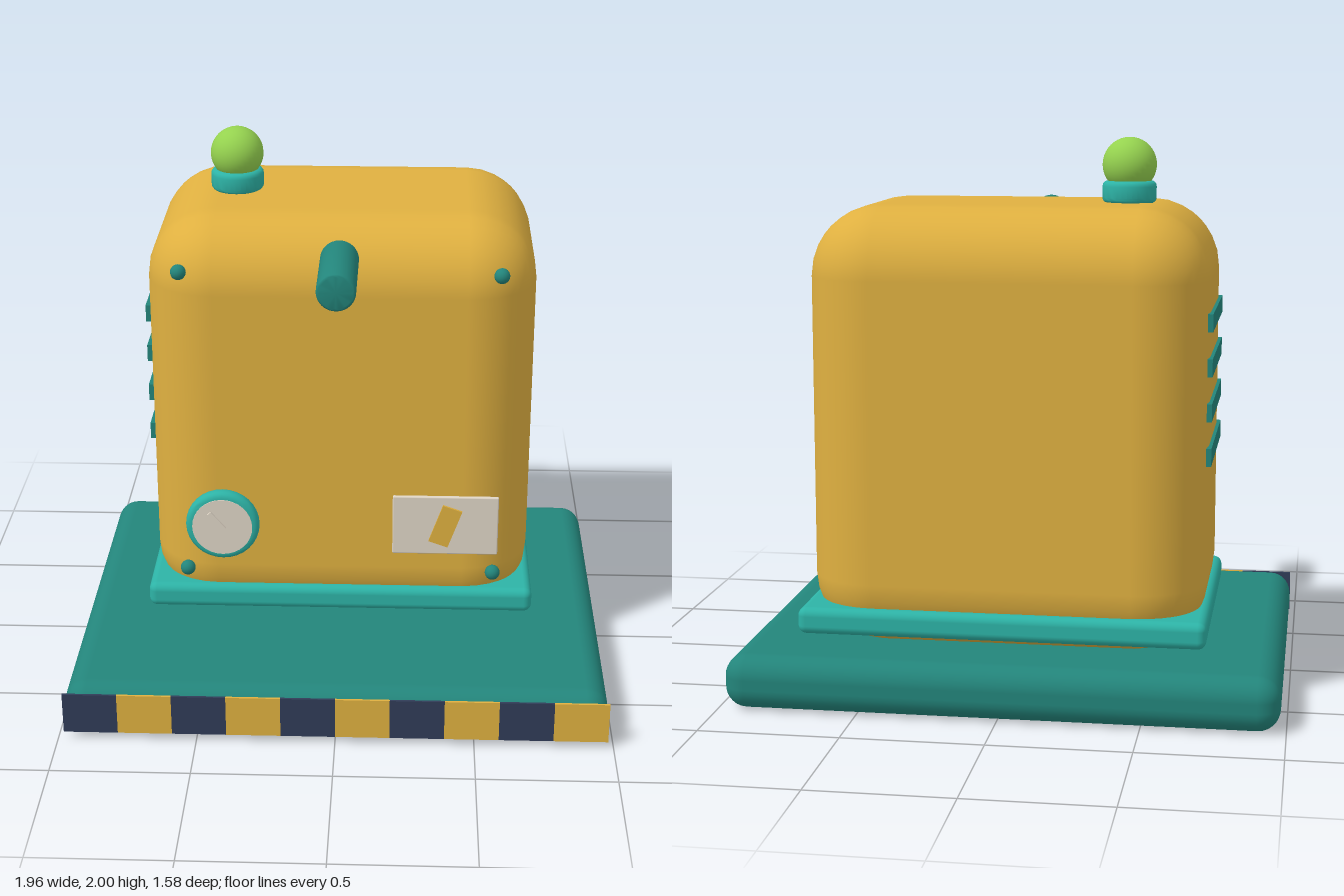
import * as THREE from 'three';
import { RoundedBoxGeometry } from 'three/addons/geometries/RoundedBoxGeometry.js';
import { toCreasedNormals } from 'three/addons/utils/BufferGeometryUtils.js';

function material(name, color) {
  const m = new THREE.MeshStandardMaterial({ color });
  m.name = name;
  return m;
}

// Round disc along +y from y = 0, with softened rims
function bevelledDisc(radius, height, bevel, sides = 32) {
  const points = [new THREE.Vector2(0, 0)];
  for (let i = 0; i <= 4; i++) {
    const a = -Math.PI / 2 + (i / 4) * (Math.PI / 2);
    points.push(new THREE.Vector2(radius - bevel + bevel * Math.cos(a), bevel + bevel * Math.sin(a)));
  }
  for (let i = 0; i <= 4; i++) {
    const a = (i / 4) * (Math.PI / 2);
    points.push(new THREE.Vector2(radius - bevel + bevel * Math.cos(a), height - bevel + bevel * Math.sin(a)));
  }
  points.push(new THREE.Vector2(0, height));
  return toCreasedNormals(new THREE.LatheGeometry(points, sides), 0.6);
}

export function createModel() {
  const model = new THREE.Group();
  model.name = 'machine';

  const yellow = material('mustard yellow', 0xdfb040);
  const darkTeal = material('dark teal', 0x23857b);
  const teal = material('bright teal', 0x2db3a6);
  const cream = material('cream', 0xdfd5c6);
  const navy = material('navy', 0x303c58);
  const lime = material('lime green', 0x95d24f);

  const add = (name, geometry, mat, x, y, z) => {
    const mesh = new THREE.Mesh(geometry, mat);
    mesh.name = name;
    mesh.position.set(x, y, z);
    model.add(mesh);
    return mesh;
  };

  // Base slab, body and collar
  add('base', new RoundedBoxGeometry(1.96, 0.195, 1.57, 4, 0.08), darkTeal, 0, 0.0975, -0.005);
  add('body', new RoundedBoxGeometry(1.41, 1.57, 0.98, 4, 0.25), yellow, 0, 0.985, -0.2);
  add('collar', new RoundedBoxGeometry(1.44, 0.095, 1.015, 4, 0.03), teal, 0, 0.317, -0.203);

  // Hazard stripe along the front of the base
  const tiles = 10;
  const tileWidth = 1.96 / tiles;
  for (let i = 0; i < tiles; i++) {
    add('hazardTile', new THREE.BoxGeometry(tileWidth, 0.155, 0.009), i % 2 ? yellow : navy,
      -0.98 + (i + 0.5) * tileWidth, 0.102, 0.785);
  }

  // Signal lamp on top
  add('lampSocket', bevelledDisc(0.097, 0.08, 0.02), teal, -0.395, 1.766, -0.2);
  add('lampBulb', new THREE.SphereGeometry(0.097, 32, 20), lime, -0.395, 1.903, -0.2);

  // Spout pointing forward
  add('spout', bevelledDisc(0.068, 0.352, 0.012), darkTeal, 0, 1.672, 0.292).rotation.x = Math.PI / 2;

  // Gauge with needle
  add('gaugeRim', bevelledDisc(0.136, 0.055, 0.022), teal, -0.432, 0.634, 0.287).rotation.x = Math.PI / 2;
  add('gaugeFace', new THREE.CylinderGeometry(0.111, 0.111, 0.008, 32), cream, -0.432, 0.634, 0.341).rotation.x = Math.PI / 2;
  add('gaugeNeedle', new THREE.BoxGeometry(0.018, 0.085, 0.009), cream, -0.452, 0.66, 0.349).rotation.z = 0.7;

  // Switch plate with tilted lever
  add('switchPlate', new RoundedBoxGeometry(0.39, 0.235, 0.016, 2, 0.005), cream, 0.39, 0.633, 0.296);
  add('switchLever', new THREE.BoxGeometry(0.075, 0.155, 0.012), yellow, 0.39, 0.634, 0.307).rotation.z = -0.34;

  // Corner screws
  for (const x of [-0.569, 0.569]) {
    for (const y of [0.437, 1.612]) {
      add('screw', new THREE.SphereGeometry(0.028, 16, 12), darkTeal, x, y, 0.293);
    }
  }

  // Cooling slats on the right side
  for (let i = 0; i < 4; i++) {
    add('ventSlat', new THREE.BoxGeometry(0.018, 0.063, 0.59), darkTeal, -0.708, 0.905 + i * 0.157, -0.205);
  }

  return model;
}
